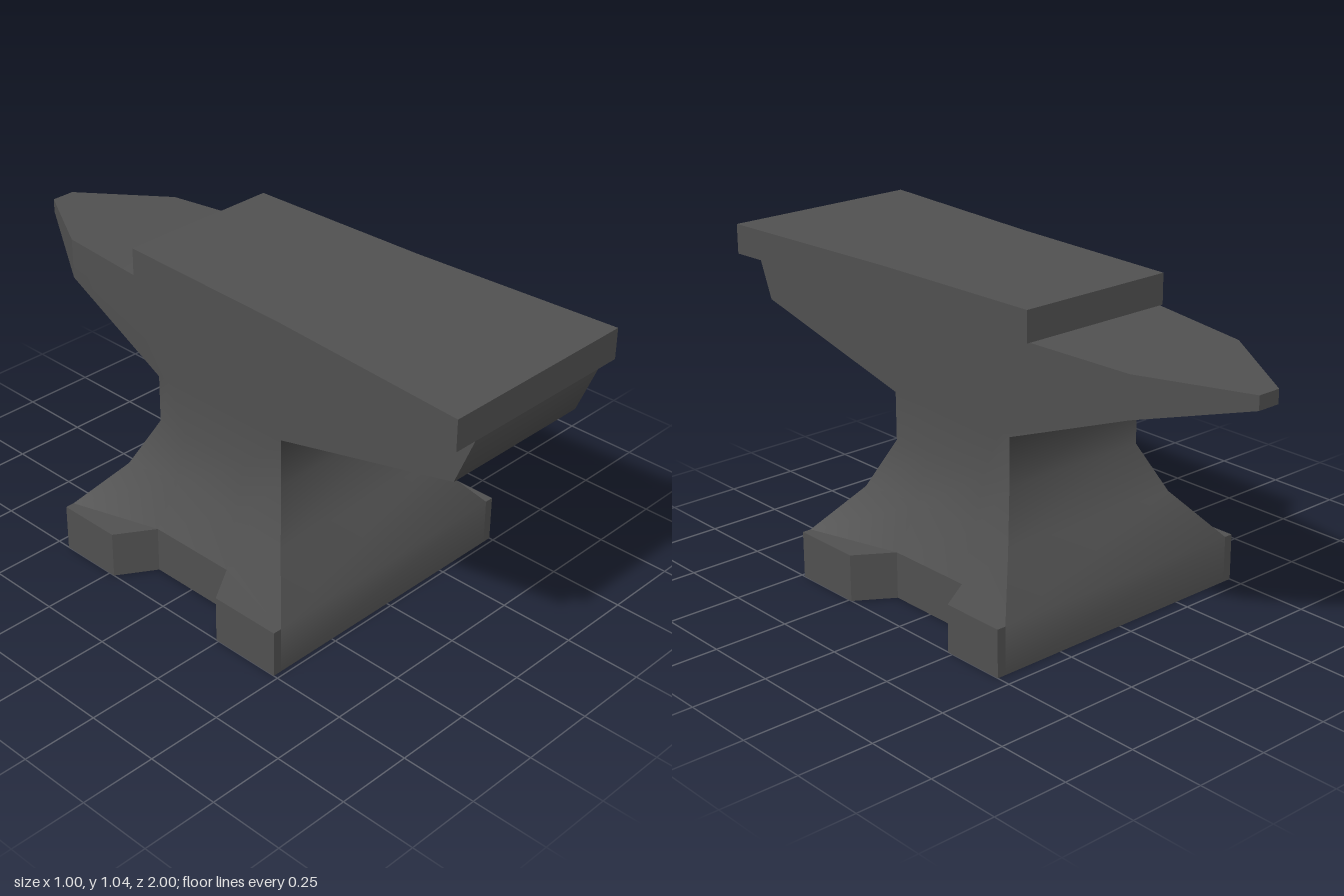
import * as THREE from 'three';

const iron = new THREE.MeshStandardMaterial({ color: 0x505050, side: THREE.DoubleSide });

// Skin rows of [x, y, z] points; outward = (along a row) x (row to row)
function skin(name, rows) {
  const n = rows[0].length, index = [];
  for (let i = 0; i < rows.length - 1; i++)
    for (let j = 0; j < n - 1; j++) {
      const a = i * n + j, b = a + 1, d = a + n, c = d + 1;
      index.push(a, b, c, a, c, d);
    }
  const g = new THREE.BufferGeometry();
  g.setAttribute('position', new THREE.Float32BufferAttribute(rows.flat(2), 3));
  g.setIndex(index);
  g.computeVertexNormals();
  const mesh = new THREE.Mesh(g, iron);
  mesh.name = name;
  return mesh;
}

// Row across the width, and mirroring of a +x row to the -x side
const across = ([x, y, z], s = 1) => [[-x * s, y, z], [x * s, y, z]];
const mirror = (row) => row.map(([x, y, z]) => [-x, y, z]).reverse();

export function createModel() {
  const anvil = new THREE.Group();
  anvil.name = 'anvil';
  const H = 0.157; // height of the feet

  // Profiles of half width, y, z going up the front and the back
  const front = [[0.47, 0, 0.485], [0.47, H, 0.485], [0.34, 0.312, 0.355], [0.267, 0.47, 0.285],
    [0.267, 0.63, 0.285], [0.267, 0.785, 0.935], [0.267, 0.943, 1]];
  const back = [[0.47, 0, -0.452], [0.47, H, -0.452], [0.34, 0.312, -0.32], [0.267, 0.47, -0.245],
    [0.267, 0.63, -0.245], [0.222, 0.795, -0.69], [0.04, 0.862, -1]];
  const top = [[0.267, 0.943, 1], [0.267, 0.943, -0.33], [0.222, 0.93, -0.69], [0.04, 0.907, -1]];

  anvil.add(skin('bodyFront', front.map((p) => across(p))));
  anvil.add(skin('bodyBack', back.map((p) => across(p, -1))));
  anvil.add(skin('bodyTop', top.map((p) => across(p))));
  anvil.add(skin('hornTip', [across(back[6], -1), across(top[3], -1)]));

  // Hollowed flanks, from the feet up to the flat upper sides
  const waist = [[0.377, 0.16, -0.152], [0.305, 0.13, -0.13], [0.267, 0.13, -0.13],
    [0.267, 0.13, -0.2], [0.267, 0.15, -0.33], [0.267, 0.15, -0.33]];
  const flank = waist.map(([x, zf, zb], i) => {
    const f = front[i + 1], b = i === 5 ? top[2] : back[i + 1];
    return [f, [x, f[1], zf], [x, b[1] + (i === 5 ? 0.013 : 0), zb], b];
  });
  const horn = [[back[5], back[6]], [top[2], top[3]]];

  // Outline of the base, from the front round the left side to the back
  const outline = [[0.47, 0.485], [0.5, 0.485], [0.5, 0.24], [0.377, 0.16],
    [0.377, -0.152], [0.5, -0.23], [0.5, -0.452], [0.47, -0.452]];
  const at = (i, y) => [outline[i][0], y, outline[i][1]];

  for (const [side, flip] of [['left', (r) => r], ['right', mirror]]) {
    const add = (name, rows) => anvil.add(skin(side + name, rows.map(flip)));
    add('Flank', flank);
    add('HornSide', horn);
    for (let i = 0; i < outline.length - 1; i++)
      add('BaseWall', [[at(i, 0), at(i + 1, 0)], [at(i, H), at(i + 1, H)]]);
    add('FrontFootTop', [[at(0, H), at(1, H)], [at(3, H), at(2, H)]]);
    add('BackFootTop', [[at(5, H), at(6, H)], [at(4, H), at(7, H)]]);
  }

  // Tapered working plate
  const half = [[0.345, 1], [0.298, 0.3], [0.278, -0.333]];
  const points = [...half, ...half.map(([x, z]) => [-x, z]).reverse()];
  const shape = new THREE.Shape(points.map(([x, z]) => new THREE.Vector2(x, z)));
  const plate = new THREE.Mesh(
    new THREE.ExtrudeGeometry(shape, { depth: 0.1, bevelEnabled: false }).rotateX(Math.PI / 2), iron);
  plate.position.y = 1.043;
  plate.name = 'facePlate';
  anvil.add(plate);

  return anvil;
}
